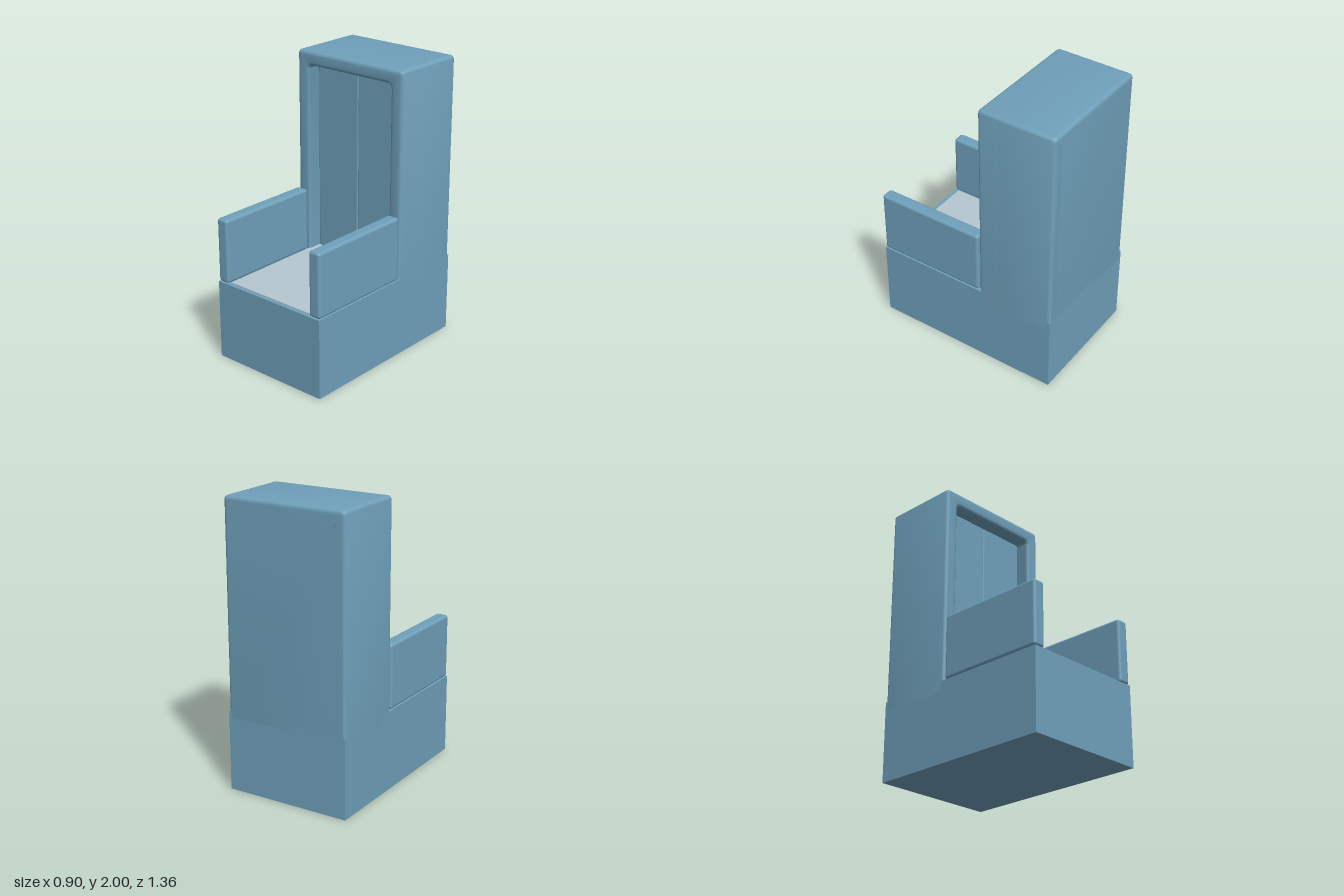
import * as THREE from 'three';
import { toCreasedNormals } from 'three/addons/utils/BufferGeometryUtils.js';
import { RoundedBoxGeometry } from 'three/addons/geometries/RoundedBoxGeometry.js';

const W = 0.45, TOP = 2, BOTTOM = 0.49, BACK = -0.68, FRONT = -0.12;
const BEVEL = 0.025, BASE_TOP = 0.56;

// Outline of the cabin; with a doorway it becomes an upside-down U
function cabinOutline(doorway) {
  const s = new THREE.Shape();
  const r = 0.03, x = 0.35, y = 1.9;
  s.moveTo(W, BOTTOM);
  s.lineTo(W, TOP - r);
  s.absarc(W - r, TOP - r, r, 0, Math.PI / 2, false);
  s.absarc(-W + r, TOP - r, r, Math.PI / 2, Math.PI, false);
  s.lineTo(-W, BOTTOM);
  if (doorway) {
    s.lineTo(-x, BOTTOM);
    s.lineTo(-x, y - r);
    s.absarc(-x + r, y - r, r, Math.PI, Math.PI / 2, true);
    s.absarc(x - r, y - r, r, Math.PI / 2, 0, true);
    s.lineTo(x, BOTTOM);
  }
  return s;
}

// Extrusion with rounded edges between two z positions
function roundedExtrude(shape, z0, z1) {
  const g = new THREE.ExtrudeGeometry(shape, {
    depth: z1 - z0 - 2 * BEVEL, curveSegments: 5, bevelEnabled: true,
    bevelThickness: BEVEL, bevelSize: BEVEL, bevelOffset: -BEVEL, bevelSegments: 4,
  });
  g.translate(0, 0, z0 + BEVEL);
  return toCreasedNormals(g, 0.6);
}

export function createModel() {
  const group = new THREE.Group();
  const blue = new THREE.MeshStandardMaterial({ color: 0x6fa0ba });
  blue.name = 'blue';
  const paleGrey = new THREE.MeshStandardMaterial({ color: 0xb6c7d0 });
  paleGrey.name = 'pale grey';

  const add = (name, geometry, material, x = 0, y = 0, z = 0) => {
    const mesh = new THREE.Mesh(geometry, material);
    mesh.name = name;
    mesh.position.set(x, y, z);
    group.add(mesh);
  };

  // Plinth and the pale floor set on top of it
  add('base', new THREE.BoxGeometry(2 * W, BASE_TOP, 1.36), blue, 0, BASE_TOP / 2, 0);
  add('floor', new THREE.BoxGeometry(0.72, 0.006, 0.87), paleGrey, 0, BASE_TOP + 0.003, 0.215);

  // Cabin: solid rear and a frame around the doorway
  add('cabinBody', roundedExtrude(cabinOutline(false), BACK, -0.25), blue);
  add('cabinFrame', roundedExtrude(cabinOutline(true), BACK, FRONT), blue);

  // Doors and side walls, mirrored
  for (const side of [1, -1]) {
    const label = side > 0 ? 'left' : 'right';
    add(label + 'Door', new RoundedBoxGeometry(0.351, 1.4, 0.08, 3, 0.01), blue,
      side * 0.1755, 1.2, -0.26);
    add(label + 'SideWall', new RoundedBoxGeometry(0.09, 0.452, 0.79, 4, 0.02), blue,
      side * 0.405, 0.789, 0.283);
  }
  return group;
}
